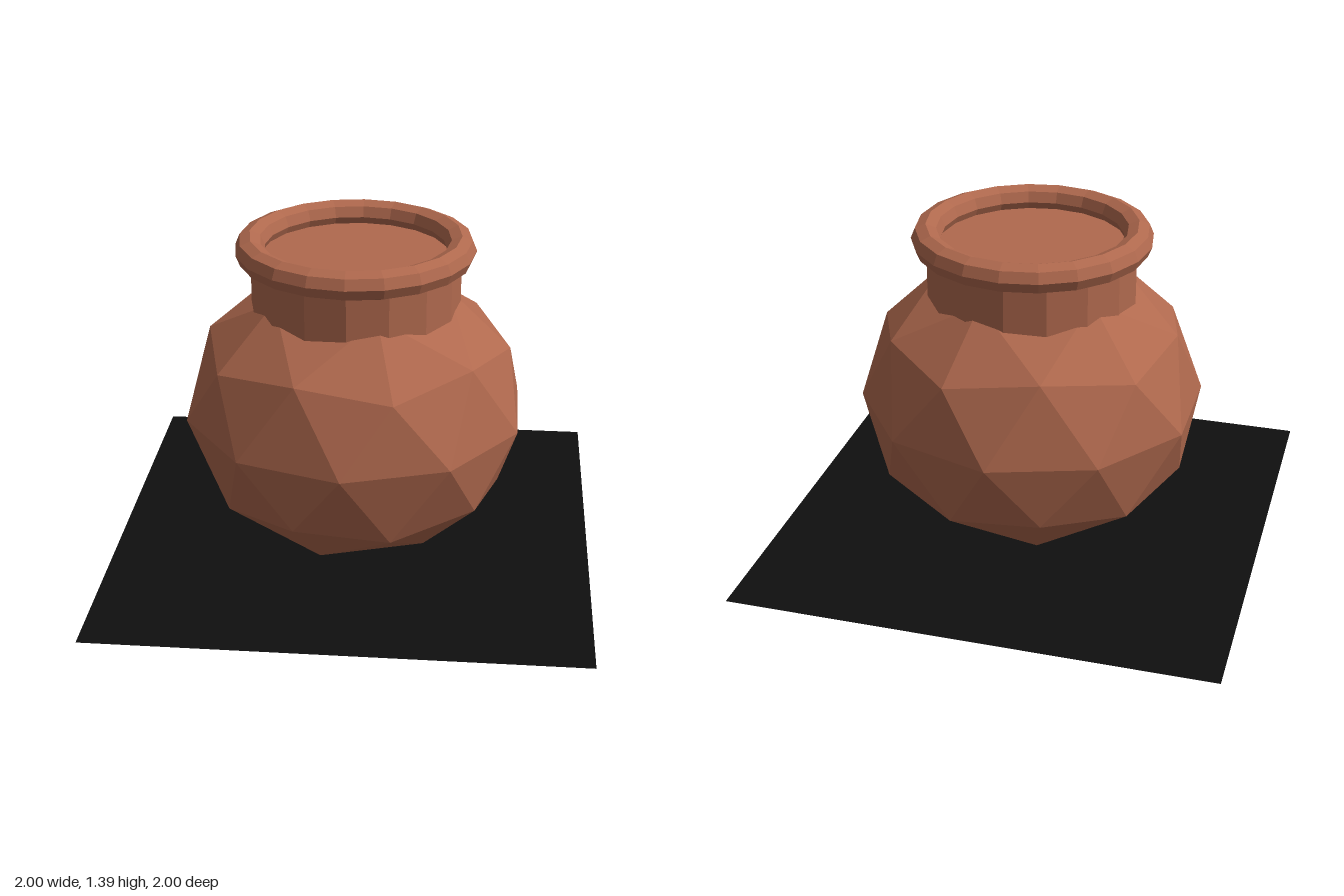
import * as THREE from 'three';

export function createModel() {
  const clay = new THREE.MeshStandardMaterial({ color: 0xb0694e, flatShading: true });
  clay.name = 'terracotta';
  const black = new THREE.MeshStandardMaterial({ color: 0x0f0f0f, side: THREE.DoubleSide });
  black.name = 'black';

  const model = new THREE.Group();
  model.name = 'pot';
  const add = (name, geometry, material, y) => {
    const mesh = new THREE.Mesh(geometry, material);
    mesh.name = name;
    mesh.position.y = y;
    model.add(mesh);
  };

  // Squashed faceted ball, turned so that it stands on a corner
  const golden = (1 + Math.sqrt(5)) / 2;
  const ball = new THREE.IcosahedronGeometry(1, 1);
  ball.rotateZ(-Math.atan(1 / golden));
  ball.scale(0.715, 0.63, 0.715);
  ball.computeVertexNormals();
  add('body', ball, clay, 0.63);

  // Neck, closed at the top just inside the rim
  add('neck', new THREE.CylinderGeometry(0.43, 0.43, 0.4, 16), clay, 1.1);

  // Octagonal ring around the mouth
  const ring = new THREE.TorusGeometry(0.43, 0.06, 8, 20);
  ring.rotateX(-Math.PI / 2);
  add('rim', ring, clay, 1.33);

  // Ground sheet, pierced by the tip of the body
  const sheet = new THREE.PlaneGeometry(2, 2);
  sheet.rotateX(-Math.PI / 2);
  add('groundSheet', sheet, black, 0.04);

  return model;
}
